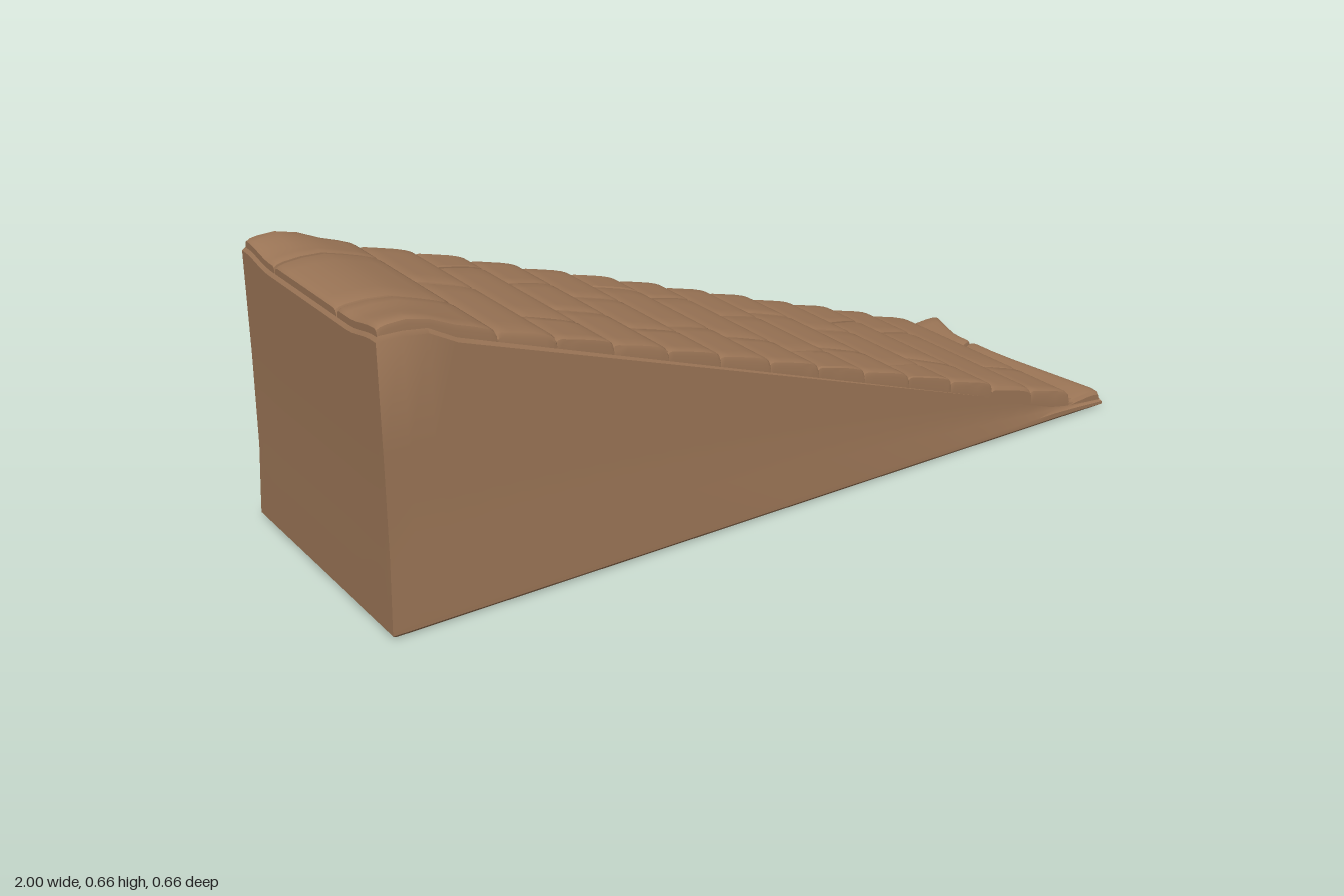
import * as THREE from 'three';
import { toCreasedNormals } from 'three/addons/utils/BufferGeometryUtils.js';

const { lerp, clamp, smoothstep } = THREE.MathUtils;
const ROW = 0.1338, FIRST = -0.73;

// Slope line that the stones sit on
const slope = (x) => clamp(0.59 - 0.333 * (x - FIRST), 0.036, 0.642);

// Worn, concave outline of the low end
function toeX(z) {
  return z < 0
    ? lerp(0.95, 1.0, clamp((-z - 0.18) / 0.13, 0, 1))
    : lerp(0.95, 0.99, clamp(z / 0.31, 0, 1));
}

// Raised lips at the two rear corners
const lip = (x, z) =>
  0.016 * smoothstep(Math.abs(z), 0.19, 0.305) * (1 - smoothstep(x, -0.89, -0.85));

// Box whose vertices are moved by a rule; i, j, k are its grid indices
function ruledBox(nx, ny, nz, rule) {
  const geo = new THREE.BoxGeometry(1, 1, 1, nx, ny, nz);
  const p = geo.attributes.position;
  for (let n = 0; n < p.count; n++) {
    const i = Math.round((p.getX(n) + 0.5) * nx);
    const j = Math.round((p.getY(n) + 0.5) * ny);
    const k = Math.round((p.getZ(n) + 0.5) * nz);
    p.setXYZ(n, ...rule(i, j, k));
  }
  geo.deleteAttribute('uv');
  return toCreasedNormals(geo, 0.6);
}

// Wedge with a rounded foot and softened upper edges
function wedgeGeometry() {
  const nx = 32, nz = 24;
  const inset = [0.012, 0.001, 0.001, 0.007, 0.009, 0.009, 0.017];
  return ruledBox(nx, 6, nz, (i, j, k) => {
    const u = i / nx, w = (k / nz) * 2 - 1;
    const x0 = lerp(-1, 0.95, u);
    const z = w * (lerp(0.331, 0.323, u) - inset[j]);
    const toe = smoothstep(x0, 0.84, 0.95) * (toeX(z) - 0.95);
    const back = (1 - smoothstep(u, 0, 0.06)) * inset[j] * 1.2;
    const front = i === nx ? inset[j] * 0.4 : 0;
    const x = x0 + toe + back - front;
    const top = Math.max(0.028, slope(x0) - 0.013) + lip(x0, z);
    const low = Math.min(0.012, top * 0.3), mid = Math.min(0.024, top * 0.55);
    const levels = [0.002, low, mid, lerp(mid, top, 0.25), lerp(mid, top, 0.6),
      top - Math.min(0.012, top * 0.2), top];
    return [x, levels[j], z];
  });
}

// One domed stone between two slanted joints
const ALONG = [0, 0.03, 0.09, 0.25, 0.45, 0.65, 0.82, 0.93, 0.98, 1];
const DOME = [-0.002, 0.003, 0.006, 0.008, 0.01, 0.012, 0.012, 0.01, 0.006, -0.003];
const ACROSS = [0, 0.015, 0.05, 0.2, 0.35, 0.5, 0.65, 0.8, 0.95, 0.985, 1];
function stoneGeometry(row, left, right) {
  const isTop = row === 0, isToe = row === 13;
  const x0 = isTop ? -0.983 : FIRST + (row - 1) * ROW;
  return ruledBox(9, 1, 10, (i, j, k) => {
    const u = ALONG[i];
    const z = lerp(lerp(left[0], left[1], u), lerp(right[0], right[1], u), ACROSS[k]);
    const x1 = isToe ? toeX(z) - 0.006 : FIRST + row * ROW;
    const x = lerp(x0, x1, u);
    const base = isToe ? 0.036 : slope(x);
    if (j === 0) return [x, Math.max(0.012, base - 0.035), z];
    const edge = Math.min(k, 10 - k);
    const drop = edge === 0 ? 0.012 : edge === 1 ? 0.003 : 0;
    return [x, base + DOME[i] - drop + lip(x, z), z];
  });
}

// Joints per row as [z uphill, z downhill], ordered from -z to +z
const JOINTS = [
  [[-0.165, -0.2], [0.135, 0.135]],
  [[-0.037, -0.022]],
  [[-0.205, -0.235], [0.158, 0.185]],
  [[-0.13, -0.155], [0.07, 0.08]],
  [[-0.08, -0.074], [0.155, 0.162]],
  [[-0.212, -0.205], [0.1, 0.093]],
  [[-0.17, -0.19], [0.127, 0.15]],
  [[-0.073, -0.085], [0.205, 0.18]],
  [[-0.15, -0.135], [0.125, 0.155]],
  [[-0.057, -0.05], [0.235, 0.21]],
  [[-0.155, -0.195], [0.125, 0.185]],
  [[-0.115, -0.135]],
  [[0.12, 0.14]],
  [[-0.095, -0.12]],
];

export function createModel() {
  const model = new THREE.Group();
  model.name = 'stoneRamp';
  const stone = new THREE.MeshStandardMaterial({ color: 0x9b7556 });
  stone.name = 'brownStone';

  const body = new THREE.Mesh(wedgeGeometry(), stone);
  body.name = 'rampBody';
  model.add(body);

  // Courses of paving stones from the top down to the toe
  JOINTS.forEach((joints, row) => {
    const course = new THREE.Group();
    course.name = 'pavingRow' + (row + 1);
    const cuts = [[-0.317, -0.317], ...joints, [0.317, 0.317]];
    for (let s = 0; s < cuts.length - 1; s++) {
      const a = cuts[s].map((z) => z + 0.0015);
      const b = cuts[s + 1].map((z) => z - 0.0015);
      const mesh = new THREE.Mesh(stoneGeometry(row, a, b), stone);
      mesh.name = 'pavingStone';
      course.add(mesh);
    }
    model.add(course);
  });
  return model;
}
